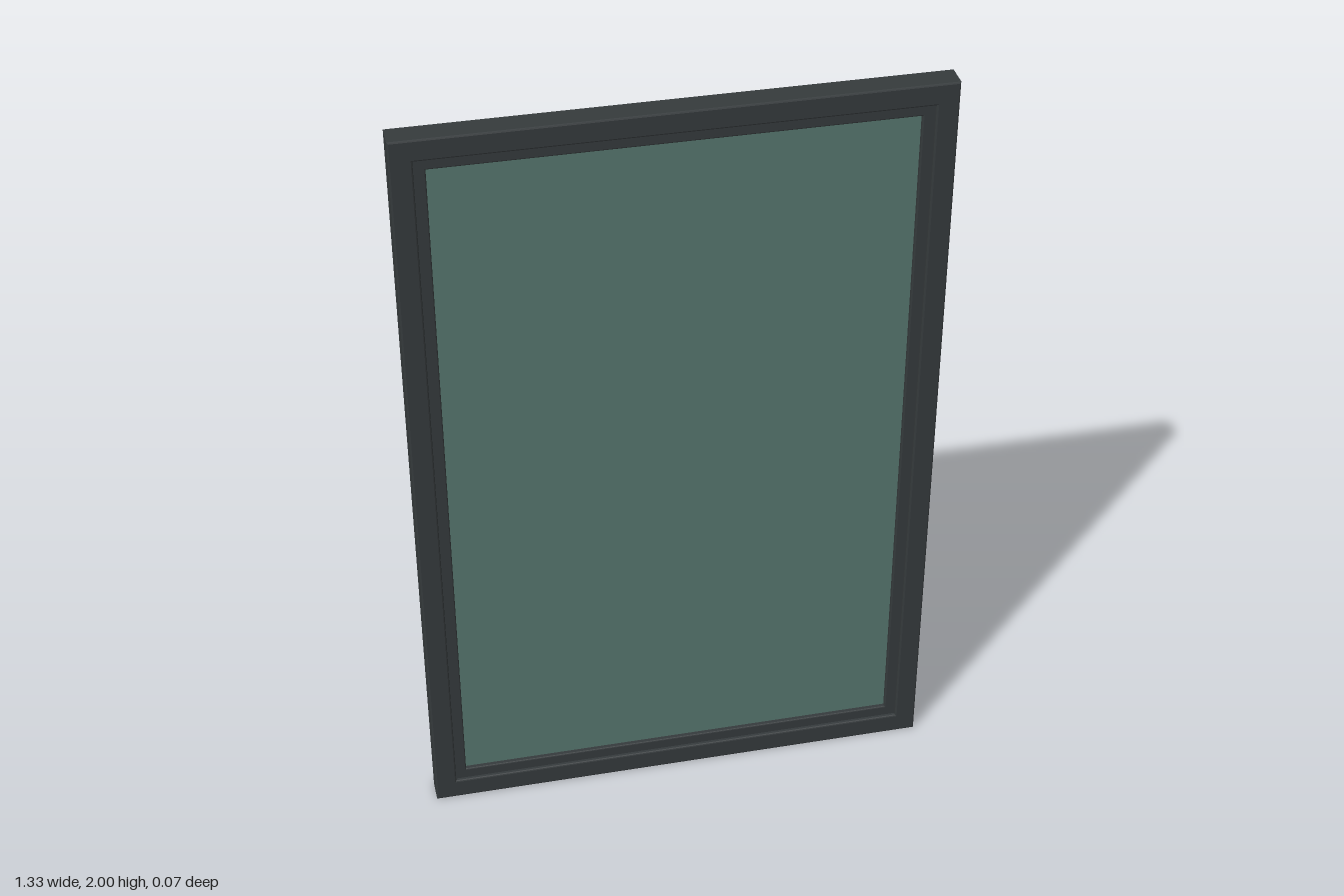
import * as THREE from 'three';

const W = 1.325, H = 2;

// Rectangular ring inset from the outer outline, with softened edges, centred on z = 0
function ring(name, outerInset, innerInset, depth, bevel, material) {
  const rect = (path, inset) => {
    const x = W / 2 - inset, y0 = inset, y1 = H - inset;
    path.moveTo(-x, y0).lineTo(x, y0).lineTo(x, y1).lineTo(-x, y1).closePath();
    return path;
  };
  const shape = rect(new THREE.Shape(), outerInset);
  shape.holes.push(rect(new THREE.Path(), innerInset));
  const geometry = new THREE.ExtrudeGeometry(shape, {
    depth: depth - 2 * bevel,
    bevelEnabled: true,
    bevelSize: bevel,
    bevelThickness: bevel,
    bevelOffset: -bevel,
    bevelSegments: 2,
  });
  geometry.translate(0, 0, -depth / 2 + bevel);
  const mesh = new THREE.Mesh(geometry, material);
  mesh.name = name;
  return mesh;
}

export function createModel() {
  const group = new THREE.Group();
  group.name = 'window';
  const frameMaterial = new THREE.MeshStandardMaterial({ color: 0x363b3d });
  const glassMaterial = new THREE.MeshStandardMaterial({ color: 0x587870 });

  // Outer frame and the recessed bead that holds the pane
  group.add(ring('outerFrame', 0, 0.055, 0.067, 0.004, frameMaterial));
  group.add(ring('glazingBead', 0.052, 0.084, 0.046, 0.003, frameMaterial));

  // Pane, tucked into the bead on all sides
  const inset = 0.075;
  const glass = new THREE.Mesh(
    new THREE.BoxGeometry(W - 2 * inset, H - 2 * inset, 0.022), glassMaterial);
  glass.position.y = H / 2;
  glass.name = 'glassPane';
  group.add(glass);
  return group;
}
